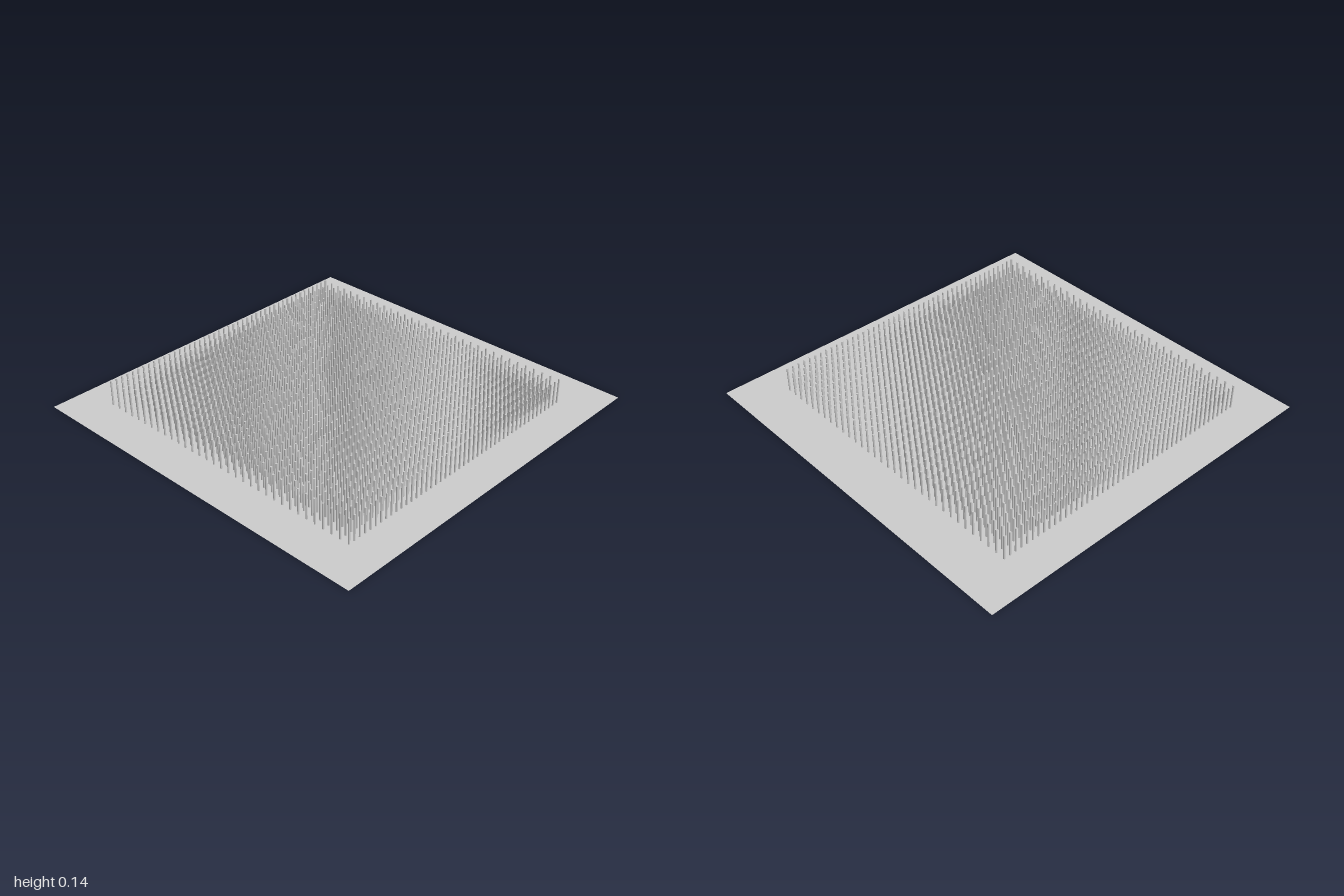
import * as THREE from 'three';
import { mergeGeometries } from 'three/addons/utils/BufferGeometryUtils.js';

const POST_RADIUS = 0.005, POST_HEIGHT = 0.137;
const STEP_X = 0.034, STEP_Z = 0.05;

export function createModel() {
  const model = new THREE.Group();
  model.name = 'postField';

  // Thin square base sheet
  const base = new THREE.Mesh(
    new THREE.PlaneGeometry(2, 2).rotateX(-Math.PI / 2),
    new THREE.MeshStandardMaterial({ color: 0xcccccc, side: THREE.DoubleSide })
  );
  base.name = 'base';
  model.add(base);

  // Regular grid of slim upright posts, 46 columns by 33 rows
  const post = new THREE.CylinderGeometry(POST_RADIUS, POST_RADIUS, POST_HEIGHT, 8)
    .translate(0, POST_HEIGHT / 2, 0);
  const postMaterial = new THREE.MeshStandardMaterial({ color: 0xcccccc });
  for (let row = -16; row <= 16; row++) {
    const posts = [];
    for (let col = -23; col <= 22; col++) {
      posts.push(post.clone().translate(col * STEP_X, 0, row * STEP_Z));
    }
    const postRow = new THREE.Mesh(mergeGeometries(posts), postMaterial);
    postRow.name = `postRow${row + 17}`;
    model.add(postRow);
  }
  return model;
}
